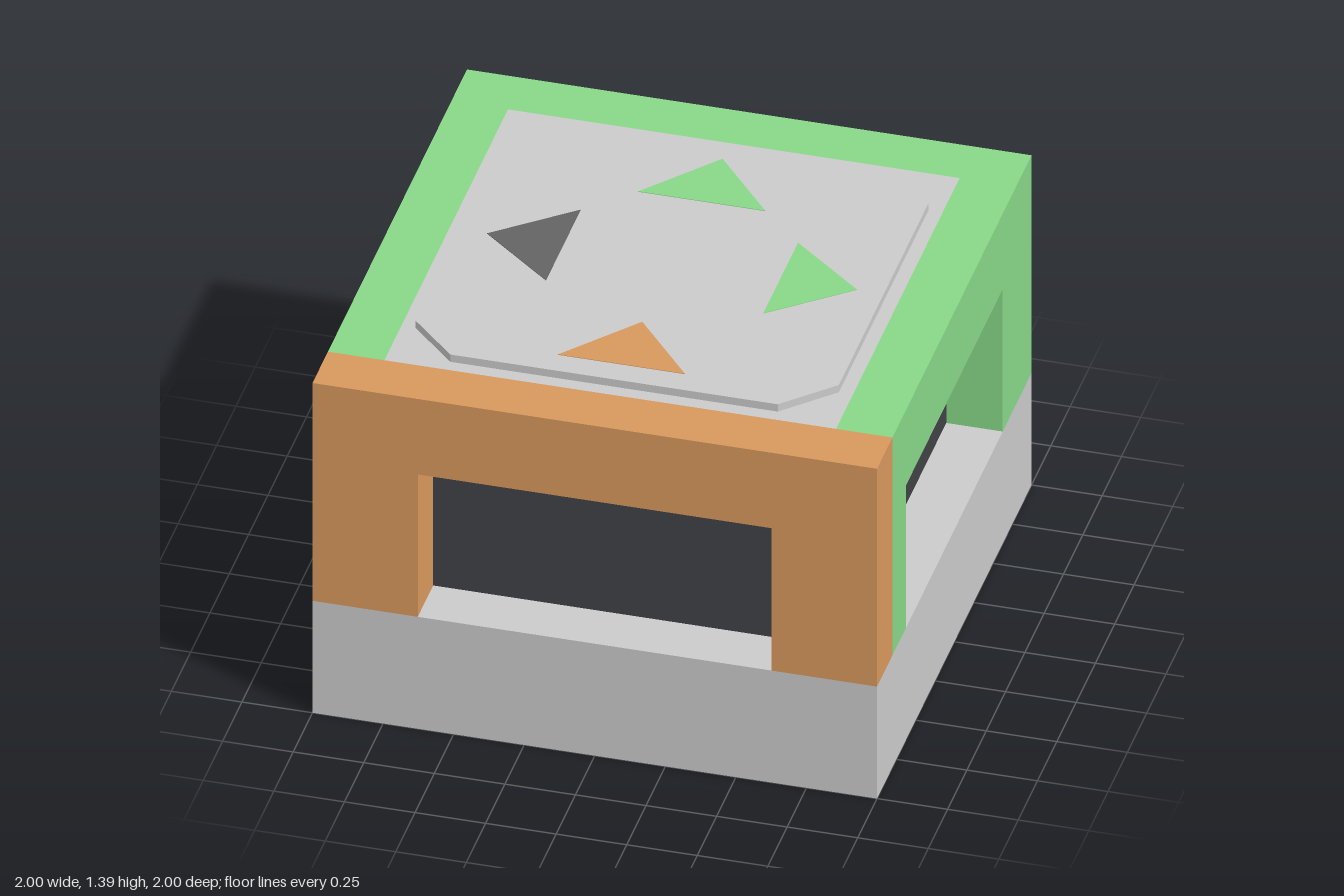
import * as THREE from 'three';

const BASE = 0.46, TOP = 1.355, WALL = 0.2, IN = 1 - WALL;
const OPEN = 0.627, LINTEL = 1.045, PLATE = 0.03;

const material = (color) => new THREE.MeshStandardMaterial({ color, flatShading: true });
const grey = material(0xcccccc);
const green = material(0x88d888);
const orange = material(0xd8995c);
const dark = material(0x414246);
const darkGrey = material(0x646464);

function add(parent, name, geometry, mat, x = 0, y = 0, z = 0) {
  const mesh = new THREE.Mesh(geometry, mat);
  mesh.name = name;
  mesh.position.set(x, y, z);
  parent.add(mesh);
  return mesh;
}

const polygon = (points) => new THREE.Shape(points.map(([x, y]) => new THREE.Vector2(x, y)));
const extrude = (points, depth) =>
  new THREE.ExtrudeGeometry(polygon(points), { depth, bevelEnabled: false });

// Outer wall with a bay opening and a dark panel behind it, facing +z before turning
function bayWall(name, halfWidth, mat, turn) {
  const wall = new THREE.Group();
  wall.name = name;
  const frame = extrude([
    [-halfWidth, BASE], [-OPEN, BASE], [-OPEN, LINTEL], [OPEN, LINTEL],
    [OPEN, BASE], [halfWidth, BASE], [halfWidth, TOP], [-halfWidth, TOP],
  ], WALL);
  add(wall, 'wallFrame', frame, mat, 0, 0, IN);
  add(wall, 'bayPanel', new THREE.BoxGeometry(2 * OPEN, LINTEL - BASE, 0.02), dark,
    0, (LINTEL + BASE) / 2, IN - 0.01);
  wall.rotation.y = turn;
  return wall;
}

export function createModel() {
  const model = new THREE.Group();
  model.name = 'machineBlock';

  // Base and roof infill
  add(model, 'base', new THREE.BoxGeometry(2, BASE, 2), grey, 0, BASE / 2, 0);
  add(model, 'roof', new THREE.BoxGeometry(2 * IN, 0.1, 2 * IN), grey, 0, TOP - 0.05, 0);

  // Three open walls and one solid wall
  model.add(bayWall('frontWall', 1, orange, 0));
  model.add(bayWall('leftWall', IN, green, Math.PI / 2));
  model.add(bayWall('backWall', 1, green, Math.PI));
  add(model, 'rightSolidWall', new THREE.BoxGeometry(WALL, TOP - BASE, 2 * IN), green,
    -1 + WALL / 2, (TOP + BASE) / 2, 0);

  // Chamfered top plate
  const a = 0.75, b = 0.58;
  const plate = extrude([
    [-b, -a], [b, -a], [a, -b], [a, b], [b, a], [-b, a], [-a, b], [-a, -b],
  ], PLATE).rotateX(-Math.PI / 2);
  add(model, 'topPlate', plate, grey, 0, TOP, 0);

  // Direction arrows: three point outward, the front one points inward
  const arrow = extrude([[-0.225, -0.135], [0.225, -0.135], [0, 0.135]], 0.002)
    .rotateX(-Math.PI / 2);
  const arrows = [
    ['backArrow', 0, -0.52, 0, green],
    ['leftArrow', 0.52, 0, -Math.PI / 2, green],
    ['rightArrow', -0.52, 0, Math.PI / 2, darkGrey],
    ['frontArrow', 0, 0.52, 0, orange],
  ];
  for (const [name, x, z, turn, mat] of arrows) {
    add(model, name, arrow, mat, x, TOP + PLATE, z).rotation.y = turn;
  }

  return model;
}
